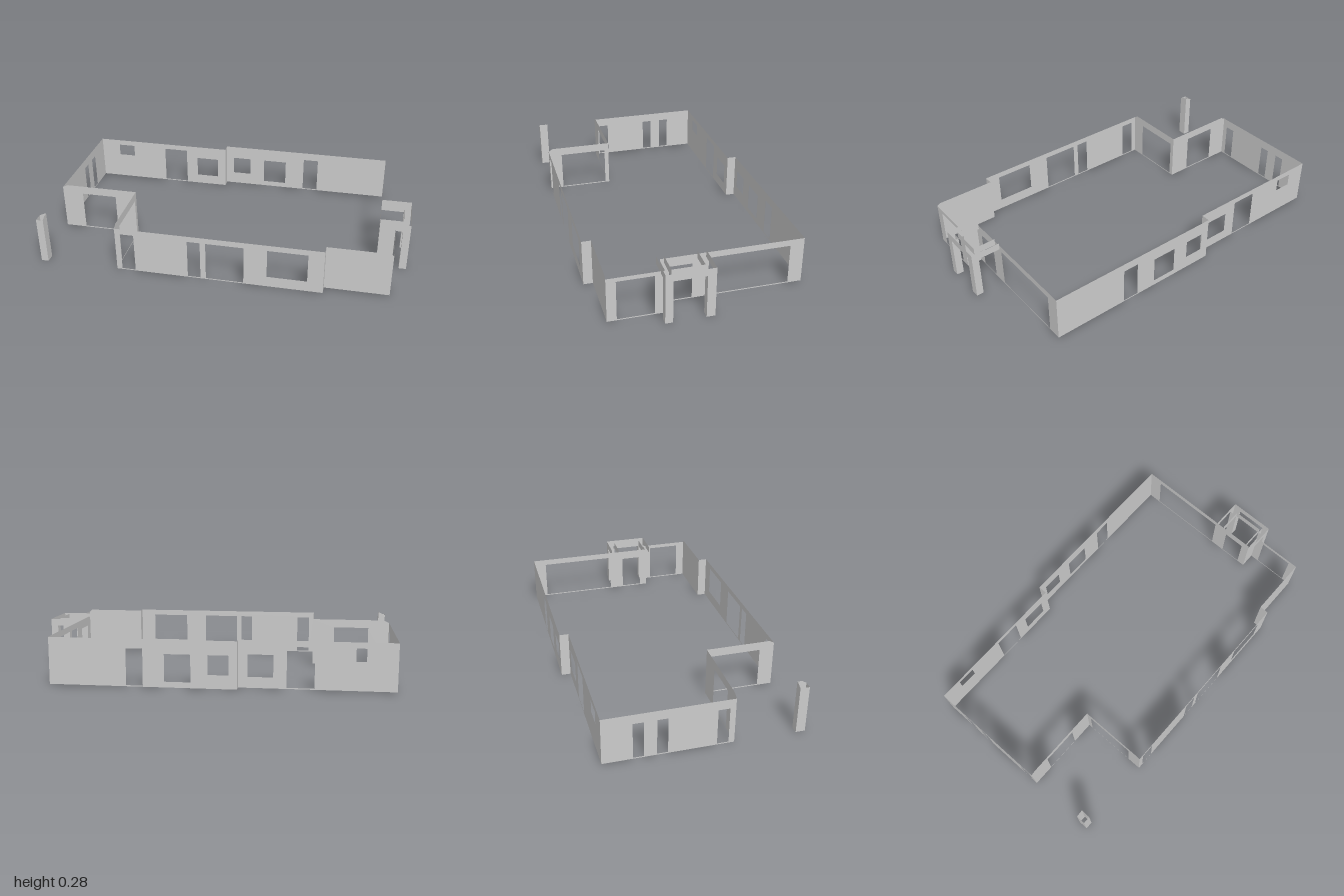
import * as THREE from 'three';

const BASE = 0.006, TOP = 0.262, HIGH = 0.277, SILL = 0.012;

export function createModel() {
  const model = new THREE.Group();
  const thin = new THREE.MeshStandardMaterial({ color: 0xcccccc, side: THREE.DoubleSide, flatShading: true });
  const solid = new THREE.MeshStandardMaterial({ color: 0xcccccc, flatShading: true });

  // Upright panel: outline of [u, y] points, openings as [u0, u1, y0, y1].
  // axis 'z' lies in the plane z = at (u is x); axis 'x' lies in x = at (u is z).
  function panel(name, axis, at, outline, openings = [], parent = model) {
    const shape = new THREE.Shape(outline.map(([u, y]) => new THREE.Vector2(u, y)));
    for (const [u0, u1, y0, y1] of openings) {
      const corners = [[u0, y0], [u0, y1], [u1, y1], [u1, y0]];
      shape.holes.push(new THREE.Path(corners.map(([u, y]) => new THREE.Vector2(u, y))));
    }
    const geometry = new THREE.ShapeGeometry(shape);
    if (axis === 'x') geometry.rotateY(-Math.PI / 2).translate(at, 0, 0);
    else geometry.translate(0, 0, at);
    const mesh = new THREE.Mesh(geometry, thin);
    mesh.name = name;
    parent.add(mesh);
  }
  const rect = (u0, u1, y0 = BASE, y1 = TOP) => [[u0, y0], [u1, y0], [u1, y1], [u0, y1]];

  // Front walls, stepping back at x = 0.575
  panel('frontWall', 'z', 0.55, rect(-0.555, 0.575), [
    [-0.525, -0.45, SILL, 0.23],
    [-0.155, -0.085, SILL, 0.23],
    [-0.055, 0.15, SILL, 0.23],
    [0.275, 0.49, 0.067, 0.23],
  ]);
  panel('frontStep', 'x', 0.575, rect(0.5, 0.55));
  panel('frontSideWall', 'z', 0.5, [[0.575, BASE], [0.92, BASE], [0.92, 0.25], [0.905, TOP], [0.575, TOP]]);

  // Left side of the porch and the long wall behind it
  panel('cornerWall', 'x', 0.92, rect(0.21, 0.5, BASE, 0.25), [[0.26, 0.45, SILL, 0.228]]);
  panel('entryReturn', 'z', 0.21, rect(0.835, 0.92, BASE, 0.25));
  panel('entrySideWall', 'x', 0.835, rect(-0.55, 0.21), [
    [-0.475, -0.04, SILL, 0.228],
    [0.045, 0.165, SILL, 0.21],
  ]);

  // Back walls, stepping in at x = -0.175
  panel('backWall', 'z', -0.55, rect(-0.175, 0.835), [
    [-0.13, -0.02, 0.08, 0.185],
    [0.07, 0.21, 0.037, 0.185],
    [0.325, 0.415, SILL, 0.215],
  ]);
  panel('backStep', 'x', -0.175, rect(-0.55, -0.5));
  panel('backSideWall', 'z', -0.5, rect(-1, -0.175), [
    [-0.885, -0.785, 0.16, 0.23],
    [-0.575, -0.43, SILL, 0.23],
    [-0.36, -0.225, 0.065, 0.185],
  ]);

  // Far side wall with three narrow openings
  panel('terraceSideWall', 'x', -1, rect(-0.5, 0.17), [
    [-0.345, -0.29, SILL, 0.21],
    [-0.225, -0.17, SILL, 0.21],
    [0.08, 0.14, SILL, 0.21],
  ]);

  // Recessed terrace walls, higher under the sloping eaves
  panel('terraceBackWall', 'z', 0.17,
    [[-1, BASE], [-0.555, BASE], [-0.555, HIGH], [-0.97, HIGH], [-1, TOP]],
    [[-0.88, -0.68, SILL, 0.23]]);
  panel('terraceReturnWall', 'x', -0.555,
    [[0.17, BASE], [0.55, BASE], [0.55, TOP], [0.525, HIGH], [0.17, HIGH]],
    [[0.195, 0.47, SILL, 0.23]]);

  // Terrace corner post, open ended, cut to the eaves
  const post = new THREE.Group();
  post.name = 'terracePost';
  panel('postFront', 'z', 0.55, rect(-1, -0.96, 0), [], post);
  panel('postOuterSide', 'x', -1, rect(0.5, 0.55, 0), [], post);
  panel('postInnerSide', 'x', -0.96, [[0.5, 0], [0.55, 0], [0.55, TOP], [0.525, HIGH], [0.5, HIGH]], [], post);
  panel('postBack', 'z', 0.5, [[-1, 0], [-0.96, 0], [-0.96, HIGH], [-0.97, HIGH], [-1, TOP]], [], post);
  model.add(post);

  // Entry porch: two posts joined to the wall by beams, open on top
  const porch = new THREE.Group();
  porch.name = 'entryPorch';
  const beamY = 0.237, sides = [[0.19, 0.23], [-0.025, 0.02]];
  function underside(name, x0, x1, z0, z1) {
    const geometry = new THREE.PlaneGeometry(x1 - x0, z1 - z0).rotateX(Math.PI / 2);
    const mesh = new THREE.Mesh(geometry, solid);
    mesh.position.set((x0 + x1) / 2, beamY, (z0 + z1) / 2);
    mesh.name = name;
    porch.add(mesh);
  }
  for (const [z0, z1] of sides) {
    // Post and side beam share their long faces
    for (const z of [z0, z1]) {
      panel('porchPostFace', 'z', z, rect(0.96, 1, 0, beamY), [], porch);
    }
    panel('porchPostInner', 'x', 0.96, rect(z0, z1, 0, beamY), [], porch);
    underside('sideBeamUnderside', 0.835, 0.96, z0, z1);
  }
  panel('sideBeamOuter', 'z', 0.23, rect(0.835, 1, beamY, HIGH), [], porch);
  panel('sideBeamInner', 'z', 0.19, rect(0.835, 0.96, beamY, HIGH), [], porch);
  panel('sideBeamInner', 'z', 0.02, rect(0.835, 0.96, beamY, HIGH), [], porch);
  panel('sideBeamOuter', 'z', -0.025, rect(0.835, 1, beamY, HIGH), [], porch);
  panel('porchFrontFrame', 'x', 1,
    [[-0.025, 0], [0.02, 0], [0.02, beamY], [0.19, beamY], [0.19, 0], [0.23, 0], [0.23, HIGH], [-0.025, HIGH]], [], porch);
  panel('frontBeamInner', 'x', 0.96, rect(0.02, 0.19, beamY, HIGH), [], porch);
  underside('frontBeamUnderside', 0.96, 1, 0.02, 0.19);
  model.add(porch);

  return model;
}
